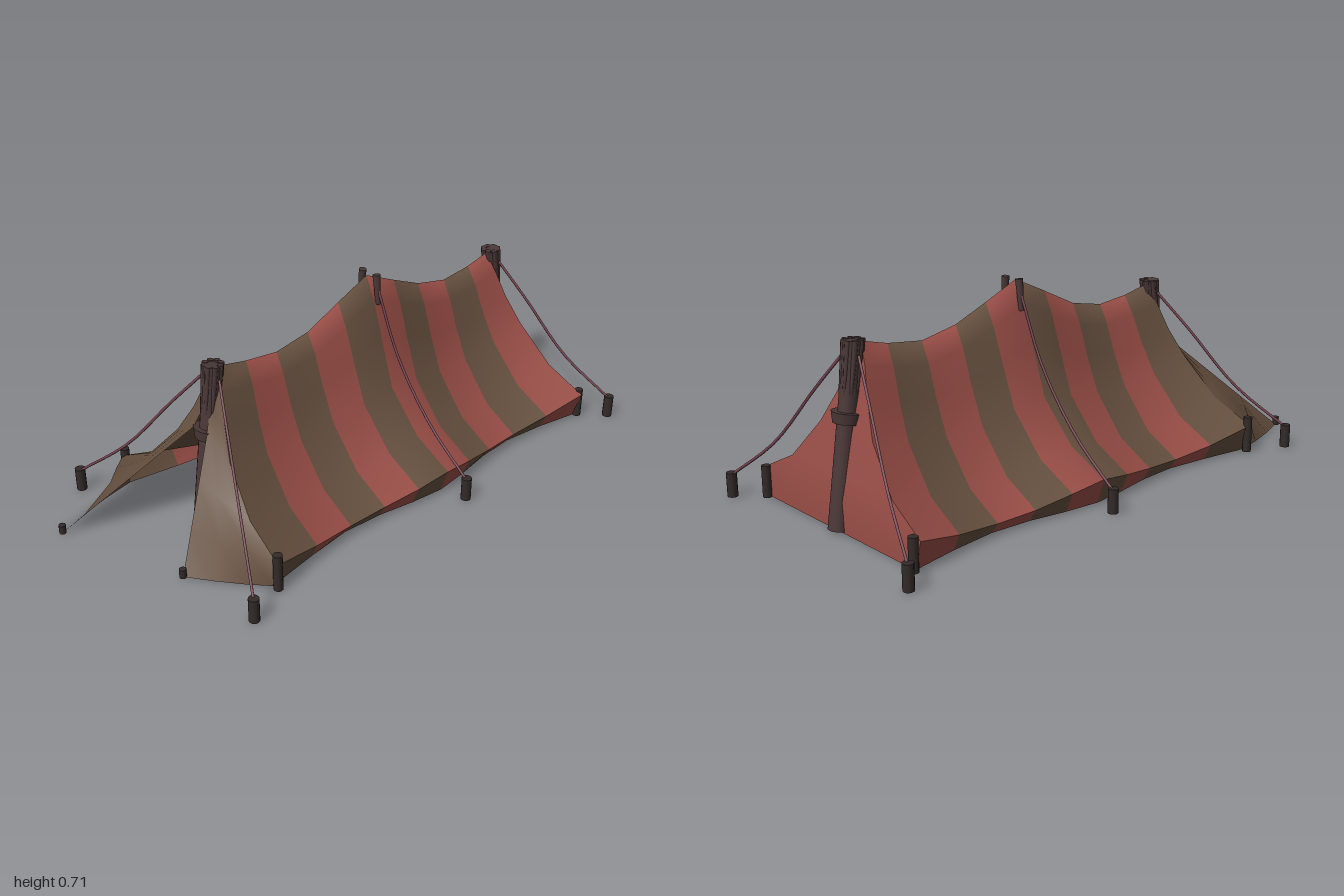
import * as THREE from 'three';

const mat = (color, side = THREE.FrontSide) => new THREE.MeshStandardMaterial({ color, side });
const RED = mat(0x984d46, THREE.DoubleSide);
const BROWN = mat(0x66503f, THREE.DoubleSide);
const WOOD = mat(0x4a3737);
const STAKE = mat(0x322a28);
const ROPE = mat(0x74424f);
const V = (x, y, z) => new THREE.Vector3(x, y, z);

// Canopy stations from front to back, one stripe between each pair
const RIDGE_Z = [0.53, 0.41, 0.28, 0.14, 0, -0.135, -0.27, -0.4, -0.54, -0.675, -0.775];
const RIDGE_Y = [0.59, 0.565, 0.55, 0.575, 0.64, 0.7, 0.64, 0.585, 0.555, 0.57, 0.595];
const EAVE_Z = [0.65, 0.46, 0.29, 0.14, 0, -0.13, -0.26, -0.4, -0.55, -0.72, -0.89];
const EAVE_Y = [0.1, 0.06, 0.042, 0.05, 0.07, 0.09, 0.07, 0.045, 0.04, 0.06, 0.1];
const EAVE_X = [0.425, 0.395, 0.375, 0.385, 0.41, 0.425, 0.41, 0.385, 0.375, 0.395, 0.428];

// Sagging half section: fraction of width, fraction of height
const SAG = [[0, 1], [0.095, 0.86], [0.19, 0.66], [0.33, 0.4], [0.64, 0.14], [1, 0]];

// The lower half keeps the same sag whatever the ridge height
function halfSection(i, side) {
  return SAG.map(([u, t]) => V(
    side * u * EAVE_X[i],
    EAVE_Y[i] + (t < 0.5 ? 0.55 : RIDGE_Y[i] - EAVE_Y[i]) * t,
    EAVE_Z[i] + (RIDGE_Z[i] - EAVE_Z[i]) * t
  ));
}

const eave = (i, side) => V(side * EAVE_X[i], EAVE_Y[i], EAVE_Z[i]);
const hem = (i, side) => V(side * (EAVE_X[i] - 0.03), 0, EAVE_Z[i]);

// Smooth surface through rows of points; stripes alternate between the materials given
function addCloth(parent, name, rows, materials) {
  const n = rows[0].length;
  const geo = new THREE.BufferGeometry().setFromPoints(rows.flat());
  const faces = materials.map(() => []);
  for (let r = 0; r < rows.length - 1; r++) {
    for (let c = 0; c < n - 1; c++) {
      const a = r * n + c, b = a + n;
      faces[r % materials.length].push(a, b, a + 1, a + 1, b, b + 1);
    }
  }
  geo.setIndex(faces.flat());
  geo.computeVertexNormals();
  materials.forEach((m, k) => {
    const mesh = new THREE.Mesh(geo.clone().setIndex(faces[k]), m);
    mesh.name = materials.length > 1 ? name + (m === RED ? 'Red' : 'Brown') : name;
    parent.add(mesh);
  });
}

// Tapered round bar between two points
function addBar(parent, name, from, to, r0, r1, material, sides = 12) {
  const dir = to.clone().sub(from);
  const mesh = new THREE.Mesh(new THREE.CylinderGeometry(r1, r0, dir.length(), sides), material);
  mesh.position.copy(from).addScaledVector(dir, 0.5);
  mesh.quaternion.setFromUnitVectors(V(0, 1, 0), dir.normalize());
  mesh.name = name;
  parent.add(mesh);
}

function addRope(parent, name, points) {
  const path = new THREE.CatmullRomCurve3(points);
  const mesh = new THREE.Mesh(new THREE.TubeGeometry(path, 12, 0.005, 6), ROPE);
  mesh.name = name;
  parent.add(mesh);
}

// Main pole with a collar and a thick head bound with strips
function addPole(parent, name, bottom, top) {
  const pole = new THREE.Group();
  pole.name = name;
  const at = t => bottom.clone().lerp(top, t);
  addBar(pole, 'shaft', bottom, top, 0.037, 0.03, WOOD, 16);
  addBar(pole, 'collar', at(0.57), at(0.63), 0.046, 0.053, WOOD, 16);
  addBar(pole, 'head', at(0.72), at(1), 0.03, 0.035, WOOD, 16);
  for (let k = 0; k < 8; k++) {
    const a = (k + 0.5) * Math.PI / 4;
    const out = V(Math.cos(a), 0, Math.sin(a)).multiplyScalar(0.028);
    addBar(pole, 'headStrip', at(0.72).add(out), at(1.005).add(out), 0.005, 0.011, WOOD, 8);
  }
  parent.add(pole);
}

// Front door flap pulled out from the pole to a ground peg
function addFlap(parent, name, side, tip) {
  const edge = [...halfSection(0, side), hem(0, side)];
  const neck = V(side * 0.035, 0.38, 0.61);
  const free = edge.map((p, i) => i < 3
    ? V(side * 0.008 * i, 0.59 - 0.07 * i, 0.54 + 0.02 * i)
    : neck.clone().lerp(tip, (i - 3) / (edge.length - 4)));
  const rows = edge.map((p, i) => [0, 0.33, 0.67, 1].map(t => {
    const q = p.clone().lerp(free[i], t);
    q.x += side * 0.04 * t * (1 - t) * i / (edge.length - 1);
    return q;
  }));
  addCloth(parent, name, rows, [BROWN]);
  addBar(parent, name + 'Peg', V(tip.x, 0, tip.z), V(tip.x, 0.032, tip.z), 0.012, 0.012, STAKE);
}

export function createModel() {
  const tent = new THREE.Group();
  tent.name = 'tent';

  // Striped canopy, one continuous surface over the ridge
  const stations = RIDGE_Z.map((_, i) => i);
  addCloth(tent, 'canopy', stations.map(i =>
    [...halfSection(i, -1).reverse(), ...halfSection(i, 1).slice(1)]), [BROWN, RED]);

  // Back wall, from the sagging edge to the pole line
  const backEnd = RIDGE_Z.length - 1;
  const wallRows = [...halfSection(backEnd, 1), hem(backEnd, 1)].map(p =>
    [-1, -0.5, 0, 0.5, 1].map(s => V(p.x * s, p.y, p.z)));
  addCloth(tent, 'backWall', wallRows, [RED]);

  // Poles
  addPole(tent, 'frontPole', V(0, 0.004, 0.62), V(0, 0.603, 0.545));
  addPole(tent, 'backPole', V(0, 0.004, -0.885), V(0, 0.603, -0.803));

  // Door flaps, pegged out unevenly
  addFlap(tent, 'rightFlap', -1, V(-0.3, 0, 0.985));
  addFlap(tent, 'leftFlap', 1, V(0.165, 0, 0.83));

  for (const side of [-1, 1]) {
    const label = side > 0 ? 'left' : 'right';

    // Skirt tucked in below the eave
    addCloth(tent, label + 'Skirt', stations.map(i => [eave(i, side), hem(i, side)]), [BROWN, RED]);

    // Ridge toggle
    addBar(tent, label + 'RidgeToggle', V(side * 0.045, 0.6, -0.15), V(side * 0.034, 0.708, -0.15), 0.009, 0.014, WOOD);

    // Corner stakes
    for (const [x, h, z] of [[0.417, 0.133, 0.645], [0.405, 0.112, -0.9]]) {
      addBar(tent, label + 'CornerStake', V(side * x, 0, z), V(side * x, h, z), 0.016, 0.016, STAKE);
    }

    // Guy ropes with their stakes: start height, start z, stake x, stake z
    for (const [y, z0, x, z1] of [[0.56, 0.55, 0.48, 0.795], [0.67, -0.15, 0.49, -0.155], [0.56, -0.81, 0.49, -0.983]]) {
      const z = t => z0 + (z1 - z0) * t;
      addRope(tent, label + 'GuyRope', [
        V(side * 0.038, y, z(0)),
        V(side * 0.15, 0.425, z(0.25)),
        V(side * 0.31, 0.222, z(0.6)),
        V(side * x, 0.075, z1)
      ]);
      addBar(tent, label + 'GuyStake', V(side * x, 0, z1), V(side * x, 0.085, z1), 0.018, 0.018, STAKE);
    }
  }
  return tent;
}
